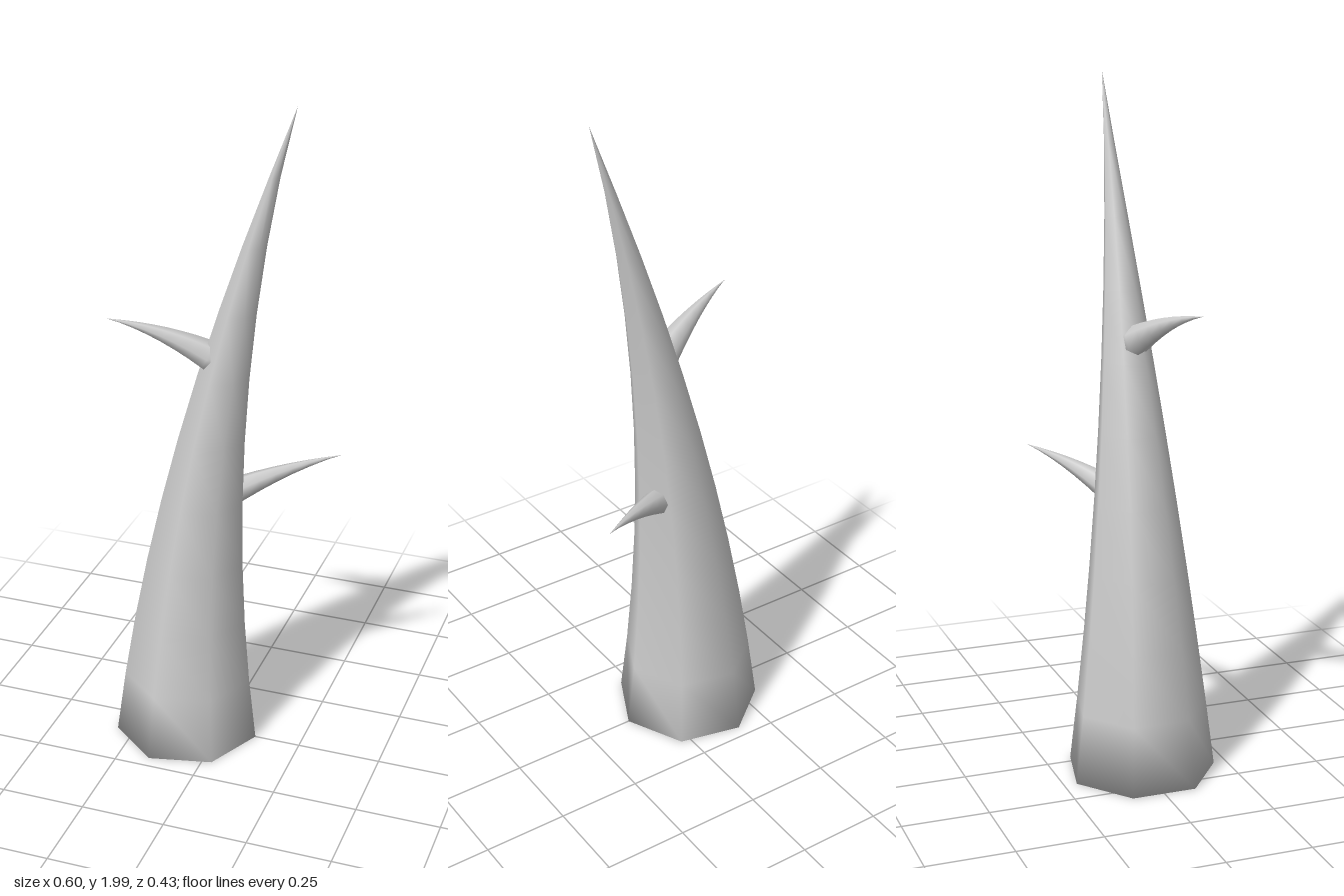
import * as THREE from 'three';

const SIDES = 7;

// Tapering seven-sided horn swept along path(t), ring axes u and v (u x v points along the horn)
function hornGeometry(path, radius, u, v, rings) {
  const pos = [], index = [];
  for (let i = 0; i <= rings; i++) {
    const t = i / rings;
    const c = path(t);
    const r = radius * Math.pow(1 - t, 1.15);
    for (let j = 0; j < SIDES; j++) {
      const a = (j / SIDES) * Math.PI * 2;
      const p = c.clone().addScaledVector(u, r * Math.cos(a)).addScaledVector(v, r * Math.sin(a));
      pos.push(p.x, p.y, p.z);
    }
  }
  for (let i = 0; i < rings; i++) {
    for (let j = 0; j < SIDES; j++) {
      const a = i * SIDES + j, b = i * SIDES + (j + 1) % SIDES;
      index.push(a, b, a + SIDES);
      if (i < rings - 1) index.push(b, b + SIDES, a + SIDES);
    }
  }
  // closed root, sharing the first ring so the shading rolls under
  for (let j = 1; j < SIDES - 1; j++) index.push(0, j + 1, j);
  const geo = new THREE.BufferGeometry();
  geo.setAttribute('position', new THREE.Float32BufferAttribute(pos, 3));
  geo.setIndex(index);
  geo.computeVertexNormals();
  return geo;
}

// Side thorn that rises steeply at its root and flattens toward the tip
function thornGeometry(start, tip, radius) {
  const d = tip.clone().sub(start).normalize();
  const u = new THREE.Vector3(0, 1, 0).cross(d).normalize();
  const v = d.clone().cross(u);
  const path = (t) => {
    const p = start.clone().lerp(tip, t);
    p.y += 0.07 * t * (1 - t);
    return p;
  };
  return hornGeometry(path, radius, u, v, 8);
}

export function createModel() {
  const group = new THREE.Group();
  const grey = new THREE.MeshStandardMaterial({ color: 0xcccccc });
  grey.name = 'pale grey';

  const add = (name, geo) => {
    const mesh = new THREE.Mesh(geo, grey);
    mesh.name = name;
    group.add(mesh);
  };

  // main spike, leaning to +x as it rises
  add('mainSpike', hornGeometry(
    (t) => new THREE.Vector3(-0.107 + 0.318 * t * t, 1.99 * t, 0),
    0.218, new THREE.Vector3(1, 0, 0), new THREE.Vector3(0, 0, -1), 10));

  // two side thorns
  add('upperThorn', thornGeometry(
    new THREE.Vector3(0, 1.235, 0.003), new THREE.Vector3(-0.3, 1.367, 0.107), 0.05));
  add('lowerThorn', thornGeometry(
    new THREE.Vector3(-0.045, 0.775, 0), new THREE.Vector3(0.3, 0.895, -0.21), 0.052));

  return group;
}
